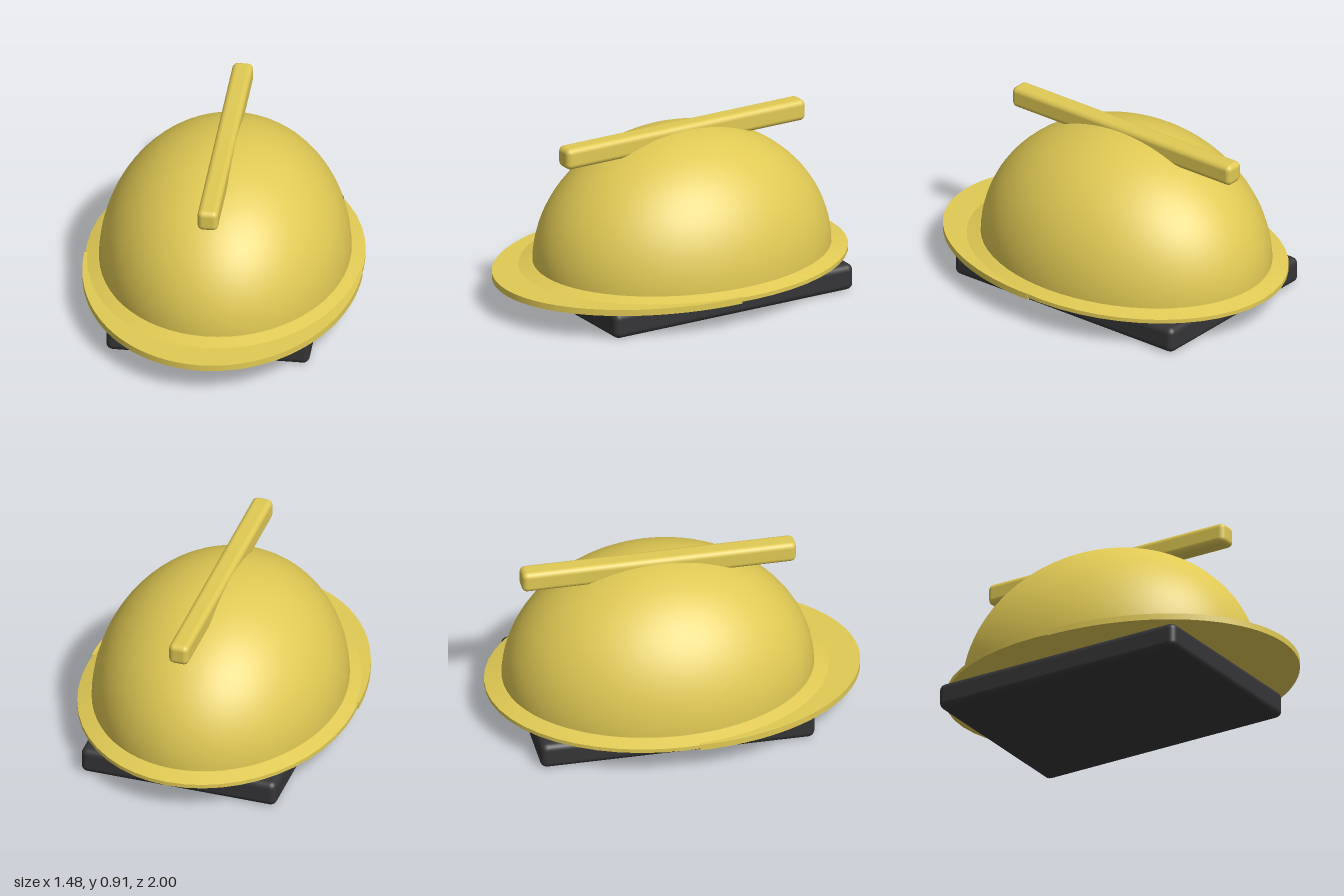
import * as THREE from 'three';
import { toCreasedNormals } from 'three/addons/utils/BufferGeometryUtils.js';
import { RoundedBoxGeometry } from 'three/addons/geometries/RoundedBoxGeometry.js';

const CENTER_Z = -0.077; // the shell sits slightly behind the peak

export function createModel() {
  const group = new THREE.Group();
  const yellow = new THREE.MeshStandardMaterial({ name: 'helmet yellow', color: 0xe0c954 });
  const black = new THREE.MeshStandardMaterial({ name: 'strap black', color: 0x353537 });

  const add = (name, geometry, material, y, z) => {
    const mesh = new THREE.Mesh(geometry, material);
    mesh.name = name;
    mesh.position.set(0, y, z);
    group.add(mesh);
  };

  // Half-ellipsoid shell
  const dome = new THREE.SphereGeometry(1, 64, 24, 0, Math.PI * 2, 0, Math.PI / 2);
  dome.scale(0.663, 0.7, 0.83);
  add('dome', dome, yellow, 0.188, CENTER_Z);

  // Oval brim: flat underside, short rim, sloping up to the dome
  const profile = [[0, 0.152], [1, 0.152], [1, 0.174], [0.905, 0.199], [0, 0.199]]
    .map(([r, y]) => new THREE.Vector2(r, y));
  const brim = new THREE.LatheGeometry(profile, 48);
  brim.scale(0.736, 1, 0.923);
  add('brim', toCreasedNormals(brim, 0.2), yellow, 0, CENTER_Z);

  // Longer half-oval peak at the front
  const outline = new THREE.Shape();
  outline.absellipse(0, 0, 0.738, 1, 0, Math.PI, false, 0);
  outline.closePath();
  const peak = new THREE.ExtrudeGeometry(outline, { depth: 0.034, bevelEnabled: false, curveSegments: 24 });
  peak.rotateX(Math.PI / 2);
  add('peak', toCreasedNormals(peak, 0.5), yellow, 0.178, 0);

  // Straight ridge bar across the crown
  add('ridge', new RoundedBoxGeometry(0.11, 0.116, 1.474, 3, 0.03), yellow, 0.854, CENTER_Z);

  // Dark block under the helmet
  add('base', new RoundedBoxGeometry(1.08, 0.143, 1.474, 3, 0.036), black, 0.0715, CENTER_Z);

  return group;
}
